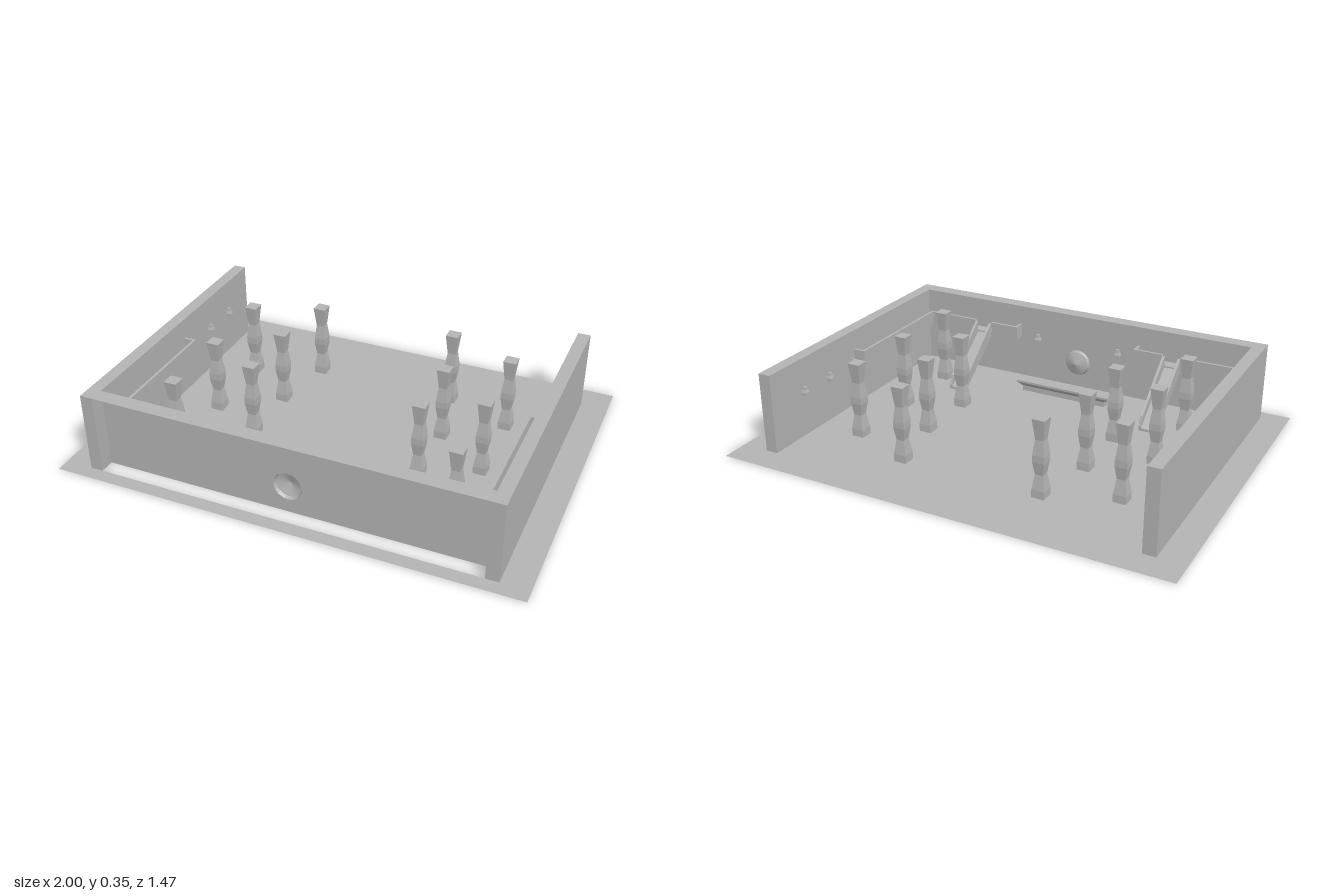
import * as THREE from 'three';

const H = 0.355;            // wall height
const IN = 0.825, OUT = 0.88; // side wall inner and outer x
const FI = 0.61, FO = 0.675;  // front wall inner and outer z
const BACK = -0.615;
const PILLARS = [[0.32, -0.415], [0.615, -0.3], [0.38, -0.125], [0.615, 0.055], [0.38, 0.17], [0.615, 0.405]];

const grey = new THREE.MeshStandardMaterial({ color: 0xb4b4b4, side: THREE.DoubleSide, flatShading: true });
grey.name = 'plain grey';

export function createModel() {
  const model = new THREE.Group();
  model.name = 'playfield';

  const add = (name, geo, x = 0, y = 0, z = 0, parent = model) => {
    const mesh = new THREE.Mesh(geo, grey);
    mesh.name = name;
    mesh.position.set(x, y, z);
    parent.add(mesh);
    return mesh;
  };
  const poly = pts => new THREE.Shape(pts.map(p => new THREE.Vector2(p[0], p[1])));
  const rect = (x, z, hx, hz) => poly([[x - hx, z - hz], [x + hx, z - hz], [x + hx, z + hz], [x - hx, z + hz]]);
  const box = (name, x0, x1, y0, y1, z0, z1, parent) =>
    add(name, new THREE.BoxGeometry(x1 - x0, y1 - y0, z1 - z0), (x0 + x1) / 2, (y0 + y1) / 2, (z0 + z1) / 2, parent);
  // flat horizontal sheet from an x-z outline
  const sheet = shape => new THREE.ShapeGeometry(shape).rotateX(Math.PI / 2);

  // rectangular cross-sections [y, halfX, halfZ], closed on top and open below
  const loft = (levels, closeBottom = false) => {
    const pos = [];
    const ring = ([y, a, b]) => [[-a, y, b], [a, y, b], [a, y, -b], [-a, y, -b]];
    const quad = (a, b, c, d) => pos.push(...a, ...b, ...c, ...a, ...c, ...d);
    for (let i = 0; i < levels.length - 1; i++) {
      const lo = ring(levels[i]), hi = ring(levels[i + 1]);
      for (let k = 0; k < 4; k++) quad(lo[k], lo[(k + 1) % 4], hi[(k + 1) % 4], hi[k]);
    }
    quad(...ring(levels[levels.length - 1]));
    if (closeBottom) quad(...ring(levels[0]).reverse());
    const g = new THREE.BufferGeometry();
    g.setAttribute('position', new THREE.Float32BufferAttribute(pos, 3));
    g.computeVertexNormals();
    return g;
  };

  // U-shaped wall outline
  const wallOutline = poly([[-OUT, BACK], [-IN, BACK], [-IN, FI], [IN, FI], [IN, BACK], [OUT, BACK], [OUT, FO], [-OUT, FO]]);

  // Floor sheet, open under the hollow walls, pillars and bar
  const floor = rect(0, 0, 1, 0.735);
  floor.holes.push(wallOutline, rect(0, 0.465, 0.21, 0.018));
  for (const s of [-1, 1]) for (const [x, z] of PILLARS) floor.holes.push(rect(s * x, z, 0.028, 0.028));
  add('floor', sheet(floor));

  // Hollow walls: top rim, side skins, end caps and inner front panel
  add('wallTop', sheet(wallOutline), 0, H, 0);
  for (const s of [-1, 1]) {
    const len = FO - BACK, mid = (FO + BACK) / 2;
    for (const x of [IN, OUT])
      add('sideWall', new THREE.PlaneGeometry(len, H).rotateY(s * Math.PI / 2 * (x === OUT ? 1 : -1)), s * x, H / 2, mid);
    for (const z of [BACK, FO])
      add('wallEnd', new THREE.PlaneGeometry(OUT - IN, H).rotateY(z < 0 ? Math.PI : 0), s * (IN + OUT) / 2, H / 2, z);
  }
  const panel = poly([[-IN, 0], [IN, 0], [IN, H], [-IN, H]]);
  const hole = new THREE.Path();
  for (let i = 0; i < 24; i++) {
    const a = i / 24 * Math.PI * 2;
    hole[i ? 'lineTo' : 'moveTo'](0.062 * Math.sin(a), 0.122 + 0.062 * Math.cos(a));
  }
  hole.closePath();
  panel.holes.push(hole);
  add('frontWall', new THREE.ShapeGeometry(panel), 0, 0, FI);

  // Round dish pushed through the front wall
  const dish = new THREE.LatheGeometry([[0, 0.032], [0.056, 0.014], [0.062, 0]].map(p => new THREE.Vector2(...p)), 24);
  add('dish', dish.rotateX(-Math.PI / 2), 0, 0.122, FI);

  // Waisted square pillars
  const pillar = loft([[0, 0.028, 0.028], [0.035, 0.028, 0.028], [0.1, 0.018, 0.018], [0.155, 0.026, 0.026],
    [0.185, 0.026, 0.026], [0.25, 0.018, 0.018], [0.34, 0.028, 0.028]]);
  // Small wall pegs
  const peg = loft([[-0.018, 0.013, 0.013], [-0.006, 0.013, 0.013], [0.006, 0.008, 0.008], [0.02, 0.006, 0.006]], true);

  // Low bar with a flared top
  add('bar', loft([[0, 0.21, 0.018], [0.025, 0.21, 0.018], [0.042, 0.234, 0.03], [0.052, 0.234, 0.03]]), 0, 0, 0.465);

  // Ramp side profiles, drawn as [-z, y] and extruded along x
  const along = (pts, width) => new THREE.ExtrudeGeometry(poly(pts), { depth: width, bevelEnabled: false }).rotateY(Math.PI / 2);
  const rampFloor = along([[-0.3, 0], [-0.3, 0.012], [-0.565, 0.215], [-0.565, 0.2]], 0.085);
  const rampSide = along([[-0.3, 0], [-0.3, 0.02], [-0.315, 0.065], [-0.555, 0.262], [-0.555, 0.195]], 0.012);

  for (const s of [-1, 1]) {
    for (const [x, z] of PILLARS) add('pillar', pillar, s * x, 0, z);
    for (const z of [-0.415, -0.24, -0.065]) add('sidePeg', peg, s * 0.811, 0.212, z);
    add('frontPeg', peg, s * 0.207, 0.212, 0.597);

    // Corner gutter with a raised lip, opened where the ramp meets it
    const gutter = new THREE.Group();
    gutter.name = 'gutter';
    model.add(gutter);
    const span = (name, a, b, ...rest) => box(name, Math.min(s * a, s * b), Math.max(s * a, s * b), ...rest, gutter);
    span('gutterSideFloor', 0.77, IN, 0.2, 0.214, -0.035, FI);
    span('gutterFrontFloor', 0.3, 0.77, 0.2, 0.214, 0.555, FI);
    span('gutterSideLip', 0.77, 0.782, 0.214, 0.265, -0.035, 0.567);
    span('gutterEndLip', 0.782, IN, 0.214, 0.265, -0.035, -0.023);
    span('gutterFrontLip', 0.525, 0.77, 0.214, 0.265, 0.555, 0.567);
    span('gutterFrontLip', 0.3, 0.44, 0.214, 0.265, 0.555, 0.567);
    span('gutterEndLip', 0.3, 0.312, 0.214, 0.265, 0.567, FI);

    // Channel ramp down to the floor
    const x0 = s * 0.483 - 0.0425;
    add('rampFloor', rampFloor, x0, 0, 0);
    add('rampSide', rampSide, x0, 0, 0);
    add('rampSide', rampSide, x0 + 0.073, 0, 0);
  }
  return model;
}
